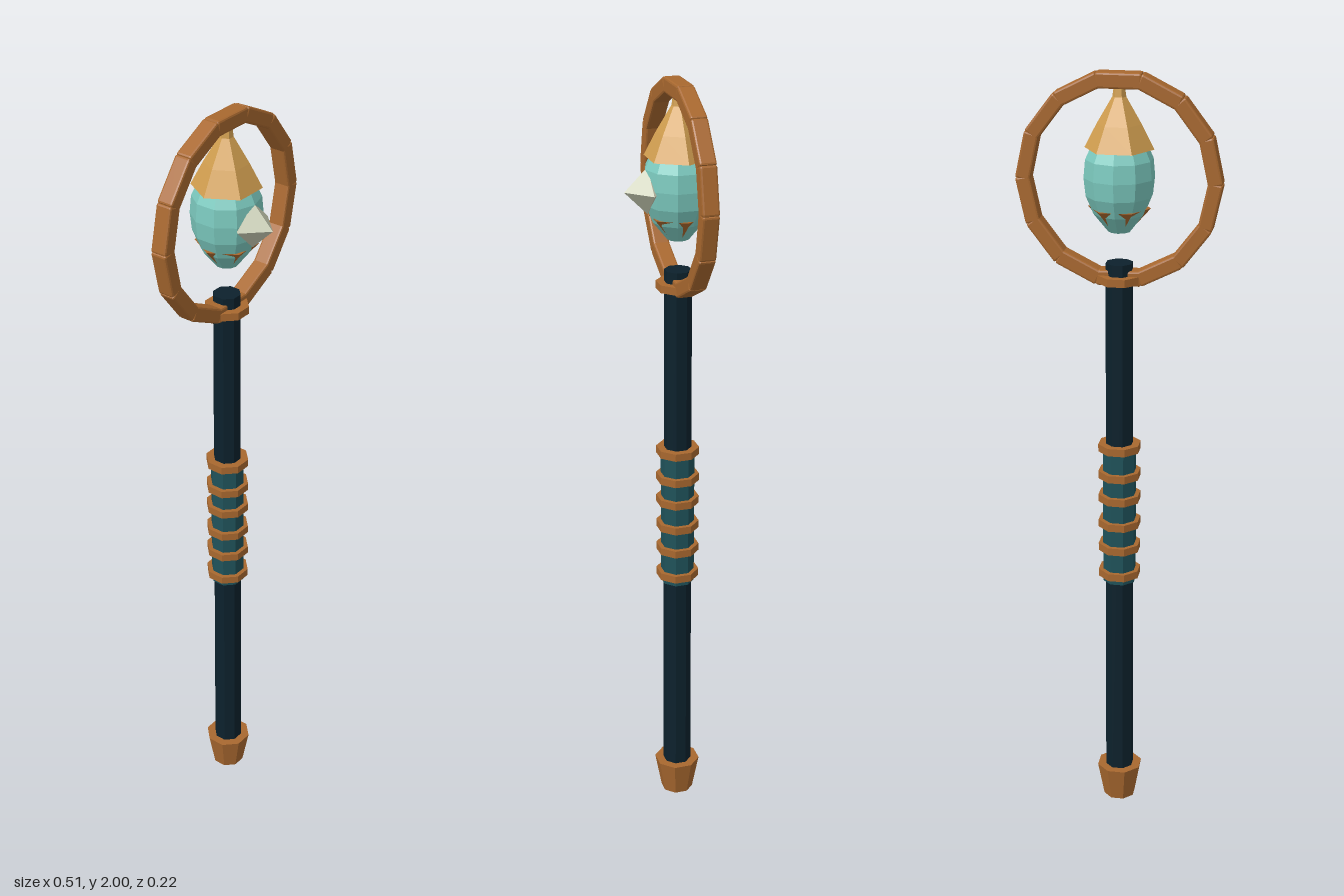
import * as THREE from 'three';
import { RoundedBoxGeometry } from 'three/addons/geometries/RoundedBoxGeometry.js';

const AXIS_Z = -0.025; // the staff stands slightly behind the centre

function makeMaterial(name, color) {
  const m = new THREE.MeshStandardMaterial({ color, flatShading: true });
  m.name = name;
  return m;
}

export function createModel() {
  const darkWood = makeMaterial('dark wood', 0x0c212c);
  const gripTeal = makeMaterial('grip teal', 0x1f525a);
  const copper = makeMaterial('copper', 0xa8682f);
  const gold = makeMaterial('gold', 0xd29f50);
  const crystal = makeMaterial('crystal', 0x7ccabf);
  const paleStone = makeMaterial('pale stone', 0xc6cab2);

  const model = new THREE.Group();
  model.name = 'staff';

  function add(name, geometry, material, y, z = AXIS_Z, parent = model) {
    const mesh = new THREE.Mesh(geometry, material);
    mesh.name = name;
    mesh.position.set(0, y, z);
    parent.add(mesh);
    return mesh;
  }

  // Eight-sided upright section with flats facing front and sides
  function section(name, rBottom, rTop, y0, y1, material) {
    const g = new THREE.CylinderGeometry(rTop, rBottom, y1 - y0, 8);
    g.rotateY(Math.PI / 8);
    return add(name, g, material, (y0 + y1) / 2);
  }

  // Lathed solid from [radius, y] points, listed bottom to top
  function lathe(name, points, sides, phase, material) {
    const g = new THREE.LatheGeometry(
      points.map(([r, y]) => new THREE.Vector2(r, y)), sides, phase);
    return add(name, g, material, 0);
  }

  // Shaft, foot and grip
  section('shaft', 0.038, 0.035, 0.05, 1.53, darkWood);
  section('footCap', 0.043, 0.061, 0, 0.095, copper);
  section('grip', 0.044, 0.044, 0.66, 1.04, gripTeal);

  // Grip bands and the collar under the hoop
  [0.685, 0.76, 0.828, 0.9, 0.965, 1.04, 1.49].forEach((y, i) => {
    section(i < 6 ? 'gripBand' : 'collar', 0.056, 0.056, y - 0.01, y + 0.01, copper);
  });

  // Hoop of fourteen bevelled bars
  const hoop = new THREE.Group();
  hoop.name = 'hoop';
  hoop.position.set(0, 1.737, AXIS_Z);
  hoop.scale.y = 1.05;
  model.add(hoop);
  const bar = new RoundedBoxGeometry(0.113, 0.037, 0.043, 1, 0.005);
  for (let i = 0; i < 14; i++) {
    const a = (i / 14) * Math.PI * 2;
    const mesh = add('hoopBar', bar, copper, 0, 0, hoop);
    mesh.position.set(Math.sin(a) * 0.2315, Math.cos(a) * 0.2315, 0);
    mesh.rotation.z = -a;
  }

  // Hanging crystal with its six-sided cap and stem
  lathe('crystal', [
    [0, 1.61], [0.028, 1.61], [0.064, 1.655], [0.083, 1.70],
    [0.088, 1.745], [0.084, 1.79], [0.07, 1.82], [0, 1.83],
  ], 10, 0, crystal);
  lathe('crystalCap', [
    [0, 1.815], [0.086, 1.815], [0.055, 1.875], [0.017, 1.94], [0.013, 1.97], [0, 1.97],
  ], 6, Math.PI / 6, gold);

  // Lower claw whose corners show through the crystal
  lathe('lowerClaw', [
    [0, 1.612], [0.027, 1.612], [0.078, 1.67], [0, 1.67],
  ], 6, Math.PI / 6, copper);

  // Pointed stone on the front
  add('frontStone', new THREE.OctahedronGeometry(0.059), paleStone, 1.737, 0.053);

  return model;
}
